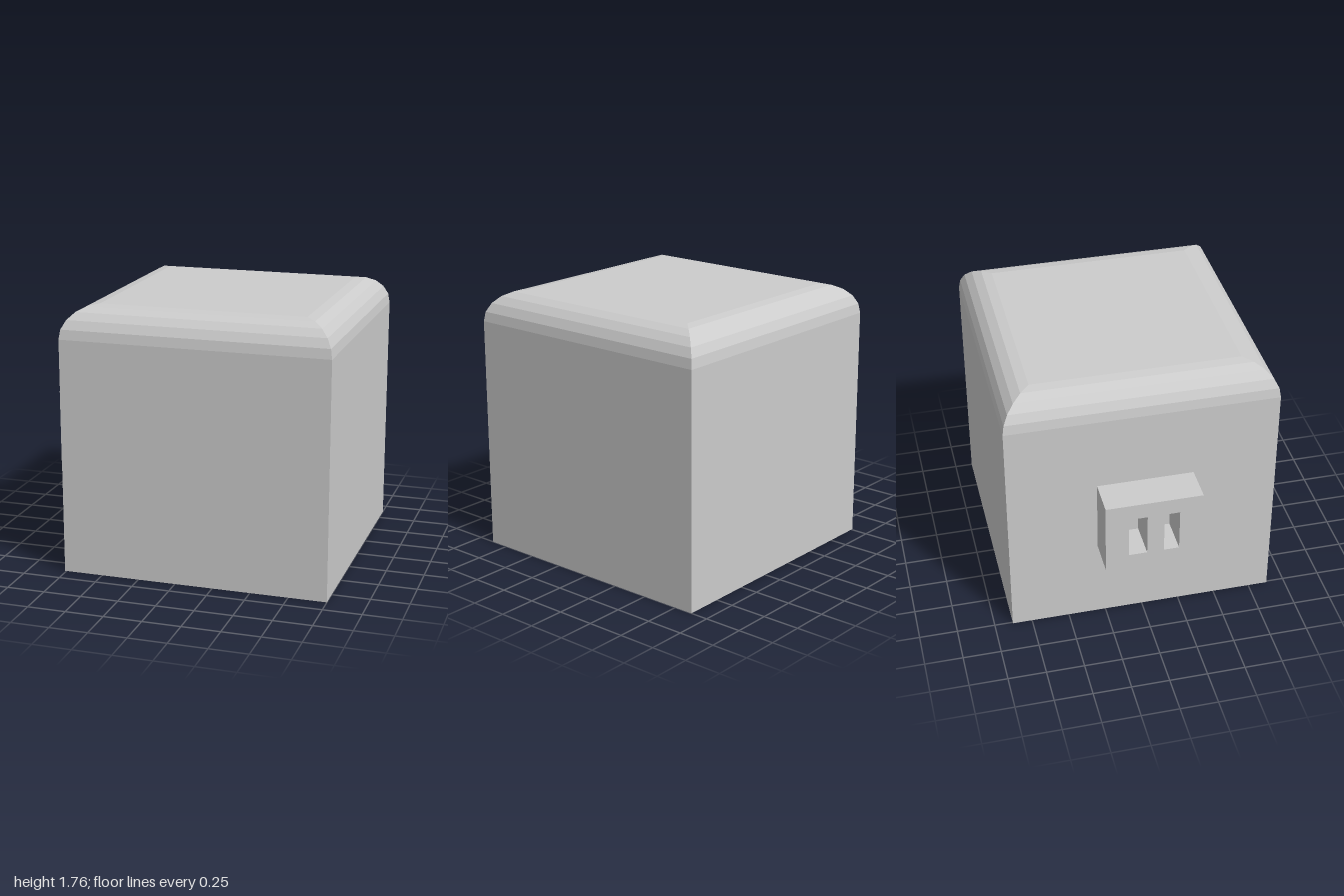
import * as THREE from 'three';

const material = new THREE.MeshStandardMaterial({ color: 0xcccccc, flatShading: true });

function rectangle(target, x0, y0, x1, y1) {
  target.moveTo(x0, y0);
  target.lineTo(x1, y0);
  target.lineTo(x1, y1);
  target.lineTo(x0, y1);
  target.closePath();
  return target;
}

export function createModel() {
  const group = new THREE.Group();

  // Cube body: a four-sided lathe whose profile rounds the top rim with mitred corners
  const half = 0.88, height = 1.76, radius = 0.205, steps = 5;
  const corner = Math.SQRT2; // side distance to corner distance
  const profile = [new THREE.Vector2(0, 0), new THREE.Vector2(half * corner, 0)];
  for (let i = 0; i <= steps; i++) {
    const a = (i / steps) * Math.PI / 2;
    profile.push(new THREE.Vector2(
      (half - radius * (1 - Math.cos(a))) * corner,
      height - radius * (1 - Math.sin(a))
    ));
  }
  profile.push(new THREE.Vector2(0, height));
  const body = new THREE.Mesh(new THREE.LatheGeometry(profile, 4, Math.PI / 4), material);
  body.name = 'body';
  body.position.x = 0.12;
  group.add(body);

  // Side socket: a block with two upright slots, extruded outward along -x
  const face = rectangle(new THREE.Shape(), -0.3, 0.565, 0.33, 1.06);
  for (const [z0, z1] of [[-0.15, -0.03], [0.08, 0.18]]) {
    face.holes.push(rectangle(new THREE.Path(), z0, 0.66, z1, 0.95));
  }
  const socketGeometry = new THREE.ExtrudeGeometry(face, { depth: 0.24, bevelEnabled: false });
  socketGeometry.rotateY(-Math.PI / 2);
  const socket = new THREE.Mesh(socketGeometry, material);
  socket.name = 'slottedSocket';
  socket.position.x = -0.76;
  group.add(socket);

  return group;
}
